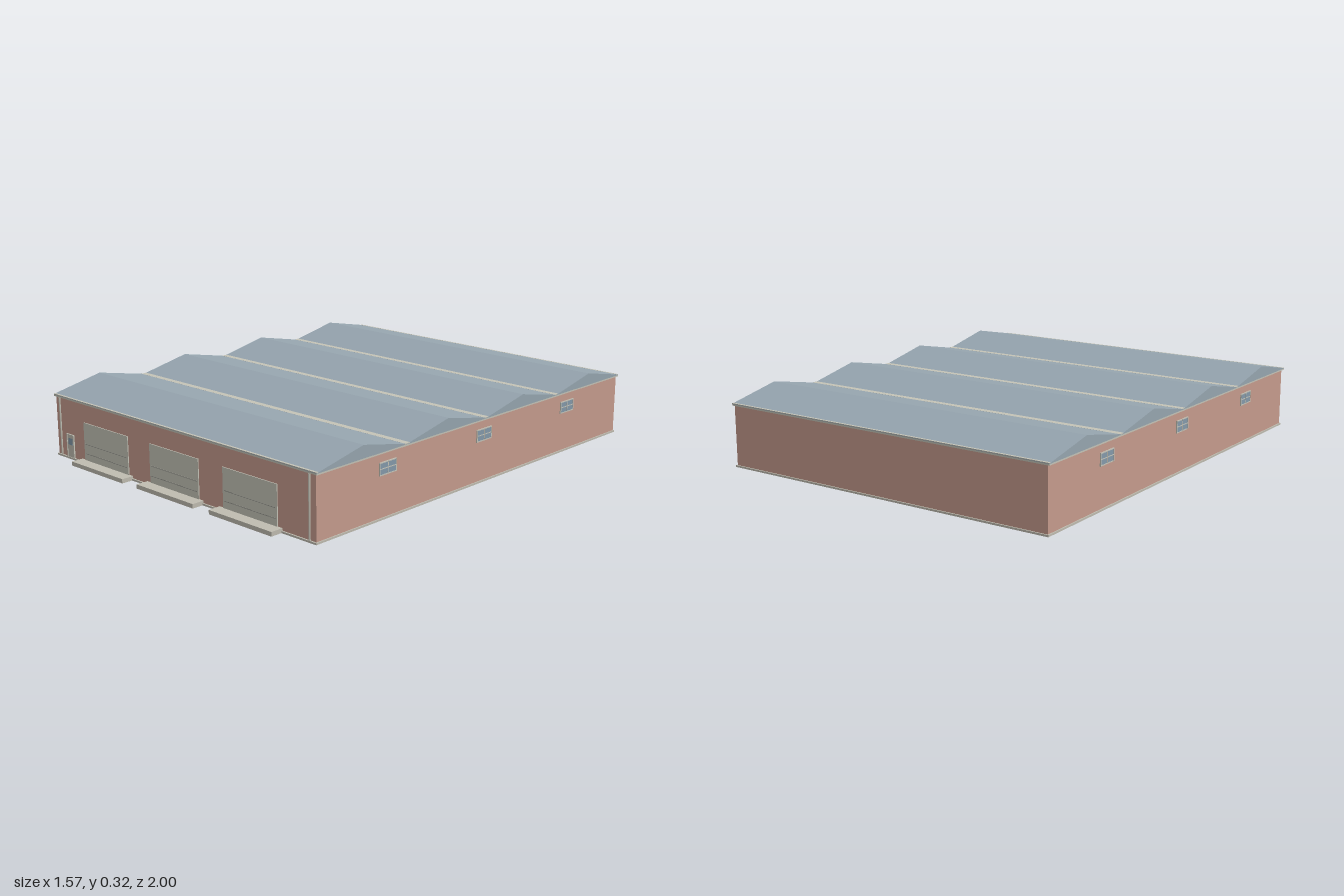
import * as THREE from 'three';

const mat = (name, color) => new THREE.MeshStandardMaterial({ name, color });

export function createModel() {
  const brick = mat('brick', 0xc59b8d);
  const metal = mat('roofMetal', 0x96a5af);
  const trim = mat('trim', 0xc4c3b7);
  const concrete = mat('concrete', 0xbfbcb0);
  const groove = mat('groove', 0x96968e);
  const glass = mat('glass', 0x8499aa);

  const model = new THREE.Group();
  model.name = 'warehouse';

  // Box given by its limits on each axis
  const box = (name, material, x0, x1, y0, y1, z0, z1, parent = model) => {
    const mesh = new THREE.Mesh(new THREE.BoxGeometry(x1 - x0, y1 - y0, z1 - z0), material);
    mesh.position.set((x0 + x1) / 2, (y0 + y1) / 2, (z0 + z1) / 2);
    mesh.name = name;
    parent.add(mesh);
    return mesh;
  };

  const back = -1, front = 0.95, wallX = 0.776, roofX = 0.785;
  const faceZ = 0.944, eaveY = 0.268, ridgeY = 0.32, bays = 4;
  const bay = (front - back) / bays;

  // Floor slab, walls and eave band
  box('floorSlab', concrete, -0.781, 0.781, 0, 0.008, back, front);
  box('walls', brick, -wallX, wallX, 0.008, 0.262, back + 0.005, faceZ);
  box('eaveTrim', trim, -roofX, roofX, 0.262, eaveY, back, front);

  // Zigzag roof with solid gable ends
  const profile = new THREE.Shape();
  profile.moveTo(back, eaveY);
  profile.lineTo(front, eaveY);
  profile.lineTo(front, eaveY + 0.002);
  for (let i = bays - 1; i >= 0; i--) {
    profile.lineTo(back + (i + 0.5) * bay, ridgeY);
    profile.lineTo(back + i * bay, eaveY + 0.002);
  }
  const roofGeometry = new THREE.ExtrudeGeometry(profile, { depth: 2 * roofX, bevelEnabled: false });
  roofGeometry.translate(0, 0, -roofX).rotateY(-Math.PI / 2);
  const roof = new THREE.Mesh(roofGeometry, metal);
  roof.name = 'roof';
  model.add(roof);

  // Gutters in the valleys and along both eaves
  for (let i = 1; i < bays; i++) {
    const z = back + i * bay;
    box('valleyGutter', trim, -roofX, roofX, 0.266, 0.273, z - 0.0135, z + 0.0135);
  }
  box('frontGutter', trim, -roofX, roofX, 0.264, 0.2722, front - 0.01, front);
  box('backGutter', trim, -roofX, roofX, 0.264, 0.2722, back, back + 0.01);

  // Loading bays: shutter, grooves and dock
  [-0.4375, -0.0025, 0.4325].forEach((x) => {
    const loadingBay = new THREE.Group();
    loadingBay.name = 'loadingBay';
    loadingBay.position.x = x;
    model.add(loadingBay);
    box('shutter', trim, -0.1475, 0.1475, 0.008, 0.182, faceZ, faceZ + 0.004, loadingBay);
    for (const y of [0.048, 0.09]) {
      box('shutterGroove', groove, -0.14, 0.14, y - 0.0015, y + 0.0015, faceZ, faceZ + 0.005, loadingBay);
    }
    box('dock', concrete, -0.171, 0.171, 0, 0.018, faceZ, 1, loadingBay);
  });

  // Entrance door with frame and small pane
  const door = new THREE.Group();
  door.name = 'entranceDoor';
  door.position.x = -0.685;
  model.add(door);
  box('doorPanel', concrete, -0.021, 0.021, 0.008, 0.106, faceZ, faceZ + 0.003, door);
  box('doorFrameTop', trim, -0.025, 0.025, 0.106, 0.11, faceZ, faceZ + 0.006, door);
  for (const s of [-1, 1]) {
    box('doorFrameSide', trim, s * 0.023 - 0.002, s * 0.023 + 0.002, 0.008, 0.106, faceZ, faceZ + 0.006, door);
  }
  box('doorPane', glass, -0.014, 0.014, 0.063, 0.092, faceZ, faceZ + 0.004, door);

  // Downpipes on the front corners
  for (const x of [-0.748, 0.746]) {
    const pipe = new THREE.Mesh(new THREE.CylinderGeometry(0.004, 0.004, 0.254, 8), trim);
    pipe.position.set(x, 0.135, faceZ + 0.004);
    pipe.name = 'downpipe';
    model.add(pipe);
  }

  // Framed four-pane windows on both side walls
  for (const side of [-1, 1]) {
    for (const z of [0.565, -0.02, -0.605]) {
      const win = new THREE.Group();
      win.name = 'sideWindow';
      win.position.set(side * wallX, 0.201, z);
      win.rotation.y = side * Math.PI / 2;
      model.add(win);
      box('pane', glass, -0.046, 0.046, -0.024, 0.024, 0, 0.003, win);
      for (const s of [-1, 0, 1]) {
        const h = s ? 0.002 : 0.0015;
        box('windowUpright', trim, s * 0.046 - h, s * 0.046 + h, -0.026, 0.026, 0, 0.005, win);
        box('windowRail', trim, -0.046, 0.046, s * 0.024 - h, s * 0.024 + h, 0, 0.0045, win);
      }
    }
  }

  return model;
}
